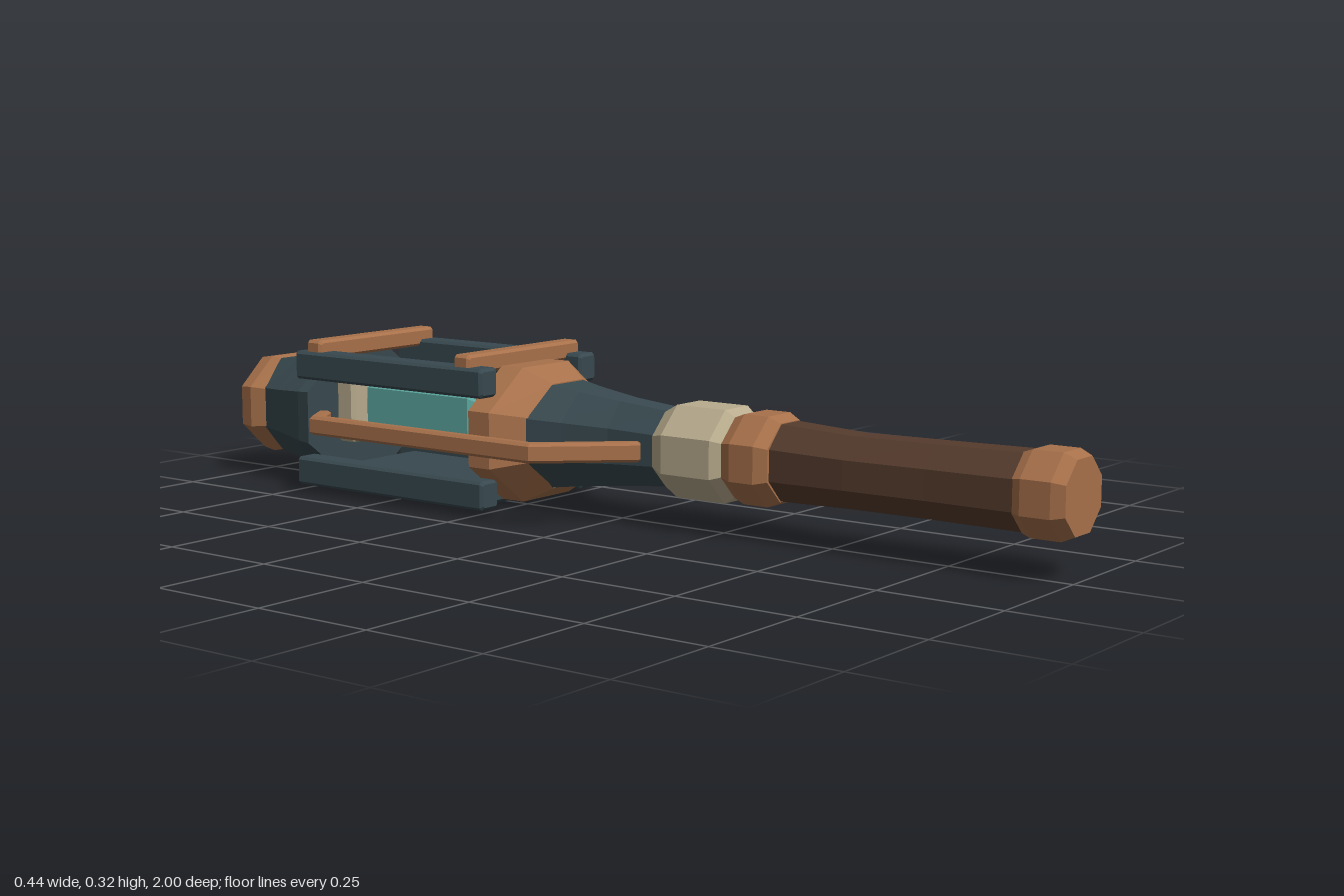
import * as THREE from 'three';

const AXIS_X = 0.03, AXIS_Y = 0.155;

function mat(name, color) {
  const m = new THREE.MeshStandardMaterial({ color, flatShading: true });
  m.name = name;
  return m;
}

// Eight-cornered cross-section; cx and cy are the corner cuts
function ring(z, x, y, hw, hh, cx, cy) {
  const a = hw - cx, b = hh - cy;
  return [[hw, -b], [hw, b], [a, hh], [-a, hh], [-hw, b], [-hw, -b], [-a, -hh], [a, -hh]]
    .map(([px, py]) => [x + px, y + py, z]);
}

// Joins cross-sections running from front to back and closes both ends
function loft(rings) {
  const pos = [], n = 8, last = rings[rings.length - 1];
  const tri = (...p) => p.forEach(v => pos.push(...v));
  for (let r = 0; r < rings.length - 1; r++) {
    for (let i = 0; i < n; i++) {
      const j = (i + 1) % n, A = rings[r], B = rings[r + 1];
      tri(A[i], B[i], B[j]);
      tri(A[i], B[j], A[j]);
    }
  }
  for (let i = 1; i < n - 1; i++) {
    tri(rings[0][0], rings[0][i], rings[0][i + 1]);
    tri(last[0], last[i + 1], last[i]);
  }
  const g = new THREE.BufferGeometry();
  g.setAttribute('position', new THREE.Float32BufferAttribute(pos, 3));
  g.computeVertexNormals();
  return g;
}

// Regular octagonal body; each section is [z, half width, half height, centre x]
function octBody(sections) {
  const k = 2 - Math.SQRT2;
  return loft(sections.map(([z, hw, hh, x = AXIS_X]) => ring(z, x, AXIS_Y, hw, hh, hw * k, hh * k)));
}

// Box with all edges cut at 45 degrees
function chamferBox(x0, x1, y0, y1, z0, z1, c, endCut = c) {
  const x = (x0 + x1) / 2, y = (y0 + y1) / 2, hw = (x1 - x0) / 2, hh = (y1 - y0) / 2;
  const full = z => ring(z, x, y, hw, hh, c, c);
  const small = z => ring(z, x, y, hw - endCut, hh - endCut, c * 0.6, c * 0.6);
  return loft([small(z1), full(z1 - endCut), full(z0 + endCut), small(z0)]);
}

export function createModel() {
  const group = new THREE.Group();
  const copper = mat('copper', 0xa8714b);
  const wood = mat('dark wood', 0x553c2d);
  const slate = mat('slate metal', 0x38494f);
  const cream = mat('cream ceramic', 0xb9ac8e);
  const glass = mat('teal crystal', 0x5daaa2);

  const add = (name, geometry, material) => {
    const m = new THREE.Mesh(geometry, material);
    m.name = name;
    group.add(m);
    return m;
  };

  // Handle
  add('handleEndCap', octBody([
    [1, 0.069, 0.069], [0.975, 0.079, 0.08], [0.915, 0.079, 0.08], [0.895, 0.072, 0.073],
  ]), copper);
  add('handleGrip', octBody([
    [0.91, 0.071, 0.072, 0.028], [0.72, 0.066, 0.07, 0.022], [0.55, 0.063, 0.069, 0.013],
    [0.37, 0.072, 0.075, 0.026],
  ]), wood);
  add('handleCollar', octBody([
    [0.385, 0.077, 0.076, 0.025], [0.36, 0.09, 0.088, 0.025], [0.305, 0.09, 0.088, 0.025],
    [0.275, 0.077, 0.077, 0.025],
  ]), copper);
  add('neckRing', octBody([
    [0.285, 0.075, 0.075, 0.025], [0.26, 0.092, 0.092, 0.025], [0.145, 0.092, 0.092, 0.025],
    [0.11, 0.073, 0.074, 0.025],
  ]), cream);

  // Front body
  add('flaredNeck', octBody([
    [0.12, 0.065, 0.075, 0.024], [0, 0.072, 0.086, 0.022], [-0.1, 0.1, 0.097, 0.026],
    [-0.18, 0.128, 0.108],
  ]), slate);
  add('frontFlange', octBody([
    [-0.165, 0.118, 0.108], [-0.225, 0.18, 0.139], [-0.28, 0.18, 0.139],
  ]), copper);

  // Rear body
  add('rearHousing', octBody([
    [-0.745, 0.175, 0.135, 0.03], [-0.78, 0.168, 0.129, 0.028], [-0.87, 0.124, 0.112, 0.014],
    [-0.94, 0.098, 0.104, 0.008],
  ]), slate);
  add('rearCap', octBody([
    [-0.93, 0.105, 0.1, 0.012], [-0.965, 0.118, 0.107, 0.013], [-1, 0.111, 0.102, 0.013],
  ]), copper);

  // Cage of four rails with a floor plate
  for (const s of [-1, 1]) {
    const x = AXIS_X + s * 0.16;
    for (const y of [0.04, 0.27]) {
      add('cageRail', chamferBox(x - 0.027, x + 0.027, y - 0.03, y + 0.03, -0.77, -0.24, 0.006), slate);
    }
  }
  add('floorPlate', chamferBox(-0.115, 0.175, 0.002, 0.045, -0.73, -0.3, 0.008), slate);

  // Crossbars and crystal cradles at both ends of the cage
  for (const z of [-0.3, -0.72]) {
    add('topCrossbar', chamferBox(-0.15, 0.21, 0.285, 0.325, z - 0.021, z + 0.021, 0.006), copper);
  }
  for (const z of [-0.315, -0.715]) {
    add('crystalCradle', chamferBox(-0.063, 0.123, 0.095, 0.247, z - 0.027, z + 0.027, 0.008), cream);
  }
  add('crystal', chamferBox(-0.05, 0.11, 0.1, 0.245, -0.685, -0.345, 0.027), glass);

  // Bent side guard, outlined from above
  const outline = [
    [-0.072, 0.1], [-0.22, -0.063], [-0.22, -0.665], [-0.145, -0.713],
    [-0.13, -0.69], [-0.193, -0.65], [-0.193, -0.075], [-0.05, 0.083],
  ].map(([x, z]) => new THREE.Vector2(x, -z));
  const guard = new THREE.ExtrudeGeometry(new THREE.Shape(outline), {
    depth: 0.028, bevelEnabled: true, bevelSegments: 1,
    bevelSize: 0.006, bevelThickness: 0.006, bevelOffset: -0.006,
  });
  guard.rotateX(-Math.PI / 2).translate(0, 0.141, 0);
  add('sideGuard', guard, copper);

  return group;
}
